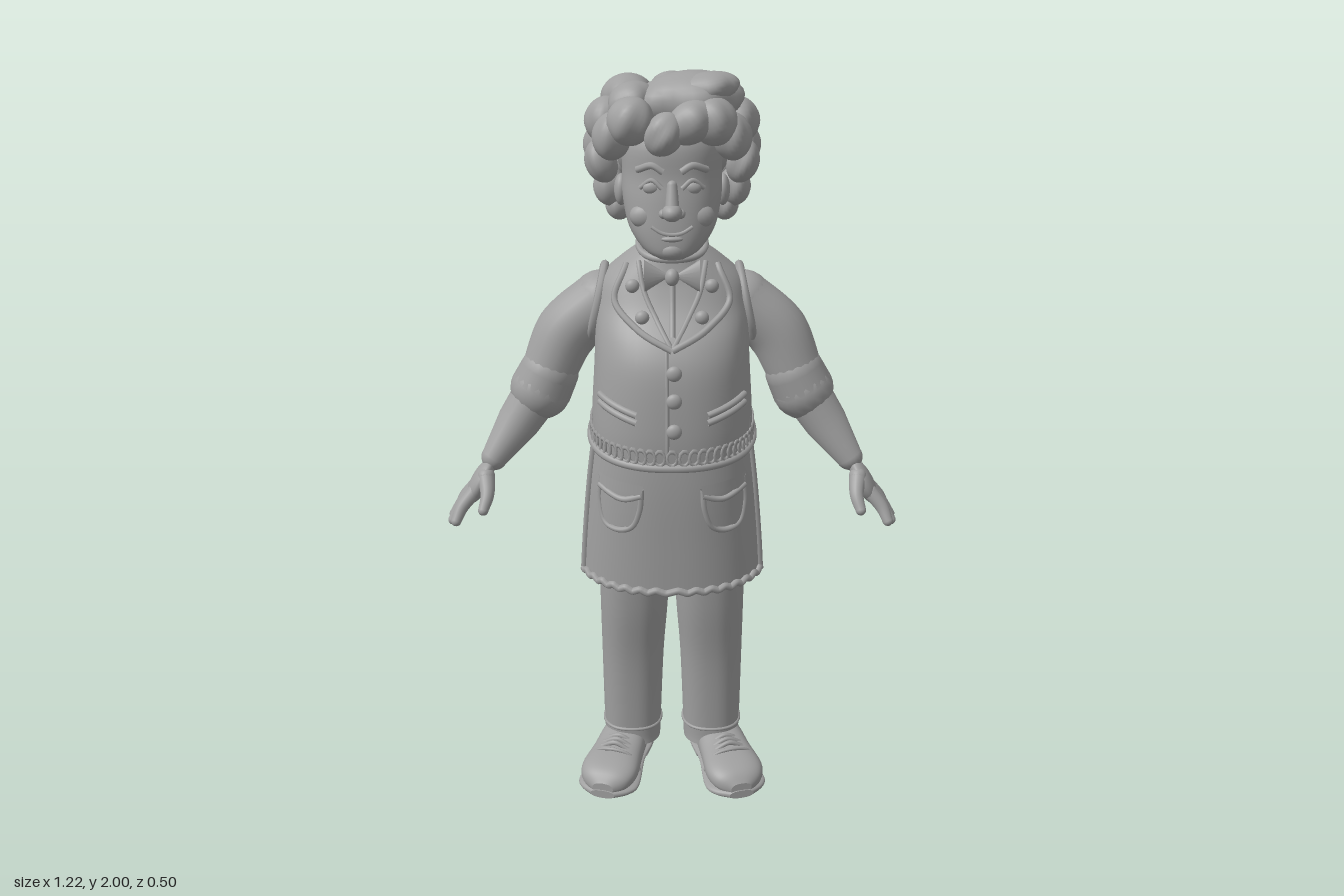
import * as THREE from 'three';

const grey = new THREE.MeshStandardMaterial({ color: 0xa0a0a0, side: THREE.DoubleSide });
grey.name = 'clay grey';
const V = (x, y, z) => new THREE.Vector3(x, y, z);
const EXP = 0.85;
const pw = (v) => Math.sign(v) * Math.abs(v) ** EXP;

function add(parent, name, geo) {
  const m = new THREE.Mesh(geo, grey);
  m.name = name;
  parent.add(m);
  return m;
}

// Smooth a list of cross-sections [y, halfWidth, zFront, zBack, centreX, tilt]
function smooth(secs, sub = 5) {
  const s = secs.map((r) => [0, 1, 2, 3, 4, 5].map((k) => r[k] || 0));
  const out = [];
  for (let i = 0; i < s.length - 1; i++) {
    const q = [s[Math.max(i - 1, 0)], s[i], s[i + 1], s[Math.min(i + 2, s.length - 1)]];
    for (let j = 0; j < sub; j++) {
      const t = j / sub;
      out.push(s[i].map((_, k) => {
        const [a, b, c, d] = q.map((r) => r[k]);
        return b + 0.5 * t * (c - a + t * (2 * a - 5 * b + 4 * c - d + t * (3 * (b - c) + d - a)));
      }));
    }
  }
  out.push(s[s.length - 1]);
  return out;
}

// Point on a section at an angle (a quarter turn is the front)
function ring([y, rx, zf, zb, cx, tilt], a, lift = 0) {
  const dz = ((zf - zb) / 2 + lift) * pw(Math.sin(a));
  return V(cx + (rx + lift) * pw(Math.cos(a)), y + tilt * dz, (zf + zb) / 2 + dz);
}

// Skin through sections; a partial angle range gives an open sheet
function loft(secs, { a0 = 0, a1 = Math.PI * 2, lift = 0, n = 48 } = {}) {
  const closed = a1 - a0 > 6.28, w = closed ? n : n + 1, pos = [], idx = [];
  const push = (p) => pos.push(p.x, p.y, p.z);
  const row = (s) => { for (let j = 0; j < w; j++) push(ring(s, a0 + (a1 - a0) * j / n, lift)); };
  secs.forEach(row);
  for (let i = 0; i < secs.length - 1; i++) for (let j = 0; j < n; j++) {
    const k = (j + 1) % w, p = i * w + j, q = i * w + k;
    idx.push(p, p + w, q, q, p + w, q + w);
  }
  if (closed) [secs[0], secs[secs.length - 1]].forEach((s, e) => {
    const b = pos.length / 3;
    row(s);
    push(V(s[4], s[0], (s[2] + s[3]) / 2));
    for (let j = 0; j < n; j++) {
      const k = (j + 1) % n;
      idx.push(b + n, b + (e ? k : j), b + (e ? j : k));
    }
  });
  return grid(pos, idx);
}

function grid(pos, idx) {
  const g = new THREE.BufferGeometry();
  g.setAttribute('position', new THREE.Float32BufferAttribute(pos, 3));
  g.setIndex(idx);
  g.computeVertexNormals();
  return g;
}

// Point on the front of a lofted body
function on(secs, x, y, lift = 0) {
  let i = 0;
  while (i < secs.length - 2 && secs[i + 1][0] < y) i++;
  const A = secs[i], B = secs[i + 1], t = THREE.MathUtils.clamp((y - A[0]) / (B[0] - A[0]), 0, 1);
  const [, rx, zf, zb] = A.map((v, k) => v + (B[k] - v) * t);
  const c = Math.min(Math.abs(x) / rx, 1) ** (1 / EXP);
  return V(x, y, (zf + zb) / 2 + (zf - zb) / 2 * Math.sqrt(1 - c * c) ** EXP + lift);
}

// Cloth panel lying on a body between two edges of [x, y] points
function panel(secs, left, right, lift, n = 16, m = 6) {
  const crv = (e) => new THREE.CatmullRomCurve3(e.map(([x, y]) => V(x, y, 0)));
  const L = crv(left), R = crv(right), pos = [], idx = [];
  for (let i = 0; i <= n; i++) for (let j = 0; j <= m; j++) {
    const p = L.getPoint(i / n).lerp(R.getPoint(i / n), j / m);
    pos.push(...on(secs, p.x, p.y, lift).toArray());
    if (i < n && j < m) {
      const a = i * (m + 1) + j, b = a + m + 1;
      idx.push(a, b, a + 1, a + 1, b, b + 1);
    }
  }
  return grid(pos, idx);
}

const tube = (pts, r, closed = false, n = 48) =>
  new THREE.TubeGeometry(new THREE.CatmullRomCurve3(pts, closed), n, r, 7, closed);
const piping = (secs, pts, r, lift) => {
  const c = new THREE.CatmullRomCurve3(pts.map(([x, y]) => V(x, y, 0)));
  return tube(c.getPoints(20).map((p) => on(secs, p.x, p.y, lift)), r);
};

// Tapered limb with rounded ends
function limb(parent, name, pts, radii) {
  const crv = new THREE.CatmullRomCurve3(pts), n = 20, m = 20;
  const g = new THREE.TubeGeometry(crv, n, 1, m), p = g.attributes.position;
  for (let i = 0; i <= n; i++) {
    const c = crv.getPointAt(i / n), f = i / n * (radii.length - 1), k = Math.min(Math.floor(f), radii.length - 2);
    const r = THREE.MathUtils.lerp(radii[k], radii[k + 1], f - k);
    for (let j = 0; j <= m; j++) {
      const v = V().fromBufferAttribute(p, i * (m + 1) + j).sub(c).multiplyScalar(r).add(c);
      p.setXYZ(i * (m + 1) + j, v.x, v.y, v.z);
    }
  }
  add(parent, name, g);
  [0, pts.length - 1].forEach((i) => blob(parent, name + 'End', pts[i].toArray(), Array(3).fill(radii[i ? radii.length - 1 : 0])));
}

function blob(parent, name, at, size, rot = [0, 0, 0]) {
  const m = add(parent, name, new THREE.SphereGeometry(1, 20, 14));
  m.position.set(...at);
  m.scale.set(...size);
  m.rotation.set(...rot);
  return m;
}

// Curl of hair with soft grooves along it
const curlGeo = new THREE.SphereGeometry(1, 30, 16);
{
  const p = curlGeo.attributes.position;
  for (let i = 0; i < p.count; i++) {
    const x = p.getX(i), y = p.getY(i), z = p.getZ(i), k = 1 + 0.07 * Math.cos(5 * Math.atan2(z, x) + y * 1.5) * (1 - y * y);
    p.setXYZ(i, x * k, y, z * k);
  }
  curlGeo.computeVertexNormals();
}
function curl(parent, [x, y, z, rx, ry, rz, tx = 0, tz = 0]) {
  const m = add(parent, 'hairCurl', curlGeo);
  m.position.set(x, y, z);
  m.scale.set(rx, ry, rz);
  m.rotation.set(tx, 0, tz);
}

export function createModel() {
  const root = new THREE.Group(), side = new THREE.Group();
  root.name = 'figure';
  side.name = 'leftSide';
  const PI = Math.PI;

  // Long shirt, apron and waistcoat
  const skirt = smooth([[0.685, 0.243, 0.19, -0.19, 0, -0.15], [0.8, 0.234, 0.196, -0.18, 0, -0.1], [0.95, 0.218, 0.203, -0.16], [1.12, 0.195, 0.2, -0.125]]);
  const vest = smooth([[1.06, 0.212, 0.236, -0.143, 0, -0.17], [1.13, 0.211, 0.24, -0.152, 0, -0.05], [1.26, 0.203, 0.23, -0.162], [1.34, 0.2, 0.2, -0.163],
    [1.41, 0.198, 0.145, -0.158], [1.47, 0.182, 0.115, -0.14], [1.52, 0.13, 0.1, -0.115], [1.555, 0.085, 0.085, -0.075]]);
  add(root, 'shirtSkirt', loft(skirt));
  const a0 = 0.12 * PI, a1 = 0.88 * PI;
  add(root, 'apron', loft(skirt, { a0, a1, lift: 0.012 }));
  const edge = [];
  for (let i = 0; i <= 60; i++) {
    const p = ring(skirt[0], a0 + (a1 - a0) * i / 60, 0.014);
    p.y += 0.004 * Math.sin(i * 1.57);
    edge.push(p);
  }
  add(root, 'apronHemTrim', tube(edge, 0.01, false, 180));
  [a0, a1].forEach((a) => add(root, 'apronSideTrim', tube(skirt.map((s) => ring(s, a, 0.013)), 0.009)));
  add(root, 'waistcoat', loft(vest));
  const hem = (s, lift) => Array.from({ length: 60 }, (_, i) => ring(s, i / 30 * PI, lift));
  add(root, 'waistcoatHemTrim', tube(hem(vest[0], 0.002), 0.011, true, 120));
  hem(vest[2], 0.002).forEach((p, i) => {
    const m = add(root, 'hemLoop', new THREE.TorusGeometry(0.013, 0.004, 5, 10));
    m.position.copy(p);
    m.rotation.y = Math.atan2(p.x, p.z - 0.045);
    m.scale.y = 1.5;
  });
  for (const y of [1.28, 1.21, 1.13]) blob(root, 'waistcoatButton', on(vest, 0.005, y, 0.003).toArray(), [0.02, 0.02, 0.012]);
  add(root, 'frontOpening', piping(vest, [[-0.015, 1.34], [-0.012, 1.2], [-0.012, 1.06]], 0.005, 0));
  add(root, 'shirtPlacket', piping(vest, [[0, 1.36], [0, 1.42], [0, 1.5]], 0.008, 0));

  // Waistcoat and apron details on one side
  const inner = [[0, 1.335], [0.04, 1.4], [0.07, 1.46], [0.085, 1.53]], outer = [[0, 1.335], [0.09, 1.38], [0.145, 1.435], [0.115, 1.52]];
  add(side, 'lapel', panel(vest, inner, outer, 0.012));
  add(side, 'lapelTrim', piping(vest, outer, 0.009, 0.012));
  add(side, 'lapelInnerTrim', piping(vest, inner, 0.007, 0.008));
  [[0.075, 1.405], [0.1, 1.475]].forEach(([x, y]) => blob(side, 'lapelButton', on(vest, x, y, 0.016).toArray(), [0.018, 0.018, 0.014]));
  [0, 0.02].forEach((d) => add(side, 'weltPocket', piping(vest, [[0.09, 1.15 + d], [0.14, 1.165 + d], [0.185, 1.18 + d]], 0.009, 0.004)));
  const pl = [[0.08, 0.96], [0.085, 0.9], [0.105, 0.85]], pr = [[0.185, 0.975], [0.19, 0.9], [0.175, 0.845]];
  add(side, 'apronPocket', panel(skirt, pl, pr, 0.026));
  add(side, 'pocketSeam', piping(skirt, [...pl, [0.14, 0.835], ...pr.slice().reverse()], 0.008, 0.022));
  add(side, 'pocketFlap', panel(skirt, [[0.075, 0.975], [0.08, 0.945]], [[0.192, 0.985], [0.19, 0.95]], 0.034));
  add(side, 'pocketFlapTrim', piping(skirt, [[0.08, 0.945], [0.13, 0.93], [0.19, 0.95]], 0.008, 0.03));

  // Arm with rolled sleeve and hand
  limb(side, 'sleeve', [V(0.185, 1.395, -0.035), V(0.275, 1.315, -0.028), V(0.33, 1.2, -0.02)], [0.08, 0.083, 0.073]);
  limb(side, 'rolledCuff', [V(0.328, 1.2, -0.018), V(0.35, 1.155, -0.015)], [0.079, 0.083]);
  const armhole = Array.from({ length: 24 }, (_, i) => {
    const a = i / 12 * PI;
    return V(0.197 - 0.022 * Math.sin(a), 1.39 + 0.1 * Math.sin(a), -0.03 + 0.085 * Math.cos(a));
  });
  add(side, 'armholeTrim', tube(armhole, 0.012, true));
  limb(side, 'forearm', [V(0.35, 1.16, -0.012), V(0.41, 1.07, 0), V(0.48, 0.97, 0.02)], [0.066, 0.058, 0.036]);
  blob(side, 'palm', [0.52, 0.905, 0.035], [0.026, 0.07, 0.052], [0, 0, 0.5]);
  [[0.585, 0.815, -0.022], [0.598, 0.8, 0.018], [0.596, 0.8, 0.056], [0.583, 0.812, 0.092]].forEach(([x, y, z], i) =>
    limb(side, 'finger', [V(0.535, 0.885, 0.008 + i * 0.018), V(0.568, 0.845, (z + 0.008 + i * 0.018) / 2), V(x, y, z)], [0.02, 0.018, 0.014]));
  limb(side, 'thumb', [V(0.5, 0.93, 0.06), V(0.495, 0.89, 0.095), V(0.505, 0.855, 0.117)], [0.024, 0.019, 0.014]);

  // Trouser leg
  const leg = smooth([[0.065, 0.08, 0.045, -0.118, 0.115], [0.12, 0.082, 0.045, -0.118, 0.115], [0.35, 0.088, 0.065, -0.12, 0.112],
    [0.55, 0.096, 0.1, -0.122, 0.106], [0.8, 0.1, 0.13, -0.12, 0.102]]);
  add(side, 'trouserLeg', loft(leg));
  add(side, 'trouserHem', tube(Array.from({ length: 30 }, (_, i) => ring(leg[5], i / 15 * PI)), 0.005, true));
  add(side, 'trouserSeam', tube(leg.slice(0, -4).map((s) => ring(s, -0.2, 0)), 0.004));

  // Shoe, skinned from heel to toe
  const shoe = new THREE.Group();
  shoe.name = 'shoe';
  const along = (s) => loft(smooth(s)).rotateX(PI / 2);
  add(shoe, 'upper', along([[-0.11, 0.045, -0.01, -0.08], [-0.08, 0.063, -0.01, -0.11], [0, 0.068, -0.01, -0.115], [0.07, 0.074, -0.01, -0.1],
    [0.15, 0.082, -0.01, -0.09], [0.195, 0.066, -0.01, -0.075], [0.22, 0.03, -0.015, -0.05]]));
  add(shoe, 'sole', along([[-0.11, 0.05, -0.012, -0.03], [-0.06, 0.07, -0.01, -0.03], [0.03, 0.07, -0.008, -0.03], [0.15, 0.088, 0, -0.03],
    [0.195, 0.073, 0, -0.03], [0.223, 0.035, -0.004, -0.028]]));
  add(shoe, 'heel', along([[-0.112, 0.045, 0, -0.03], [-0.08, 0.068, 0, -0.03], [0, 0.07, 0, -0.03]]));
  add(shoe, 'toeSeam', tube([V(-0.078, 0.035, 0.11), V(-0.05, 0.085, 0.115), V(0, 0.1, 0.12), V(0.05, 0.085, 0.115), V(0.078, 0.035, 0.11)], 0.005));
  [0.055, 0.075, 0.095].forEach((z) => add(shoe, 'lace', tube([V(-0.04, 0.088, z), V(0, 0.106, z), V(0.04, 0.088, z)], 0.007, false, 12)));
  shoe.position.set(0.14, 0, 0);
  shoe.rotation.y = 0.26;
  side.add(shoe);

  // Neck, collar and bow tie
  limb(root, 'neck', [V(0, 1.49, 0.005), V(0, 1.64, 0.03)], [0.08, 0.07]);
  const collar = smooth([[1.515, 0.105, 0.112, -0.1, 0, -0.25], [1.54, 0.097, 0.105, -0.088, 0, -0.25], [1.56, 0.085, 0.1, -0.072, 0, -0.25]]);
  add(root, 'collar', loft(collar));
  add(root, 'collarFold', tube(Array.from({ length: 30 }, (_, i) => ring(collar[10], i / 15 * PI)), 0.009, true));
  blob(root, 'bowKnot', [0, 1.5, 0.125], [0.018, 0.022, 0.018]);
  const bow = add(side, 'bowTieWing', new THREE.ConeGeometry(0.042, 0.065, 16));
  bow.position.set(0.037, 1.502, 0.12);
  bow.rotation.z = PI / 2;
  bow.scale.z = 0.4;

  // Head and face
  const head = smooth([[1.55, 0.035, 0.148, 0.07], [1.57, 0.072, 0.16, 0.02], [1.62, 0.108, 0.16, -0.04], [1.69, 0.124, 0.153, -0.09],
    [1.75, 0.125, 0.144, -0.11], [1.83, 0.122, 0.14, -0.11], [1.9, 0.08, 0.1, -0.07]]);
  add(root, 'head', loft(head));
  blob(root, 'nose', [0, 1.673, 0.165], [0.025, 0.022, 0.028]);
  limb(root, 'noseBridge', [V(0, 1.735, 0.142), V(0, 1.68, 0.163)], [0.013, 0.018]);
  add(root, 'mouth', piping(head, [[-0.05, 1.635], [-0.025, 1.621], [0, 1.617], [0.025, 1.621], [0.05, 1.635]], 0.005, 0));
  blob(root, 'lowerLip', [0, 1.606, 0.156], [0.028, 0.008, 0.012]);
  blob(root, 'chin', [0, 1.575, 0.14], [0.035, 0.024, 0.026]);
  blob(side, 'nostril', [0.02, 1.668, 0.155], [0.013, 0.012, 0.014]);
  blob(side, 'cheek', [0.065, 1.655, 0.118], [0.04, 0.033, 0.028]);
  blob(side, 'eye', on(head, 0.05, 1.728, -0.006).toArray(), [0.022, 0.016, 0.012]);
  add(side, 'upperEyelid', piping(head, [[0.024, 1.728], [0.05, 1.747], [0.078, 1.727]], 0.006, 0.001));
  add(side, 'eyebrow', piping(head, [[0.022, 1.768], [0.05, 1.783], [0.085, 1.77]], 0.009, 0.002));
  blob(side, 'ear', [0.128, 1.7, 0.02], [0.018, 0.04, 0.028]);

  // Hair: mirrored curls, then the central ones
  [[0.1, 1.885, 0.115, 0.055, 0.06, 0.055, 0, 0.5], [0.145, 1.845, 0.085, 0.048, 0.06, 0.05, 0, 0.2], [0.175, 1.775, 0.04, 0.04, 0.055, 0.045, 0, -0.3],
    [0.16, 1.87, 0.01, 0.055, 0.06, 0.06], [0.178, 1.8, -0.05, 0.045, 0.06, 0.055], [0.158, 1.7, -0.02, 0.04, 0.05, 0.04], [0.135, 1.65, -0.035, 0.034, 0.04, 0.04],
    [0.185, 1.77, -0.11, 0.026, 0.05, 0.035, -0.5, -0.7], [0.11, 1.92, -0.06, 0.065, 0.055, 0.08], [0.135, 1.84, -0.12, 0.06, 0.06, 0.055],
    [0.075, 1.84, -0.165, 0.055, 0.055, 0.05], [0.13, 1.74, -0.13, 0.05, 0.05, 0.05], [0.07, 1.755, -0.18, 0.045, 0.05, 0.045], [0.1, 1.665, -0.11, 0.045, 0.045, 0.045],
    [0.045, 1.68, -0.155, 0.042, 0.042, 0.042], [0.055, 1.62, -0.085, 0.042, 0.038, 0.042]].forEach((c) => curl(side, c));
  [[0.04, 1.925, 0.04, 0.13, 0.07, 0.095, 0, 0.1], [0.08, 1.955, 0.07, 0.08, 0.04, 0.055, 0, 0.2], [-0.1, 1.92, 0.05, 0.06, 0.05, 0.06, 0, 0.4],
    [-0.02, 1.86, 0.15, 0.045, 0.055, 0.045, 0, -0.5], [0.045, 1.885, 0.135, 0.06, 0.05, 0.05, 0, 0.6], [0, 1.925, -0.095, 0.06, 0.05, 0.075],
    [0, 1.865, -0.175, 0.05, 0.055, 0.045], [0, 1.765, -0.195, 0.045, 0.05, 0.045], [0, 1.65, -0.13, 0.04, 0.04, 0.04], [0, 1.81, -0.05, 0.15, 0.13, 0.13]].forEach((c) => curl(root, c));

  // Mirror the left side
  const right = side.clone();
  right.name = 'rightSide';
  right.scale.x = -1;
  root.add(side, right);
  return root;
}
